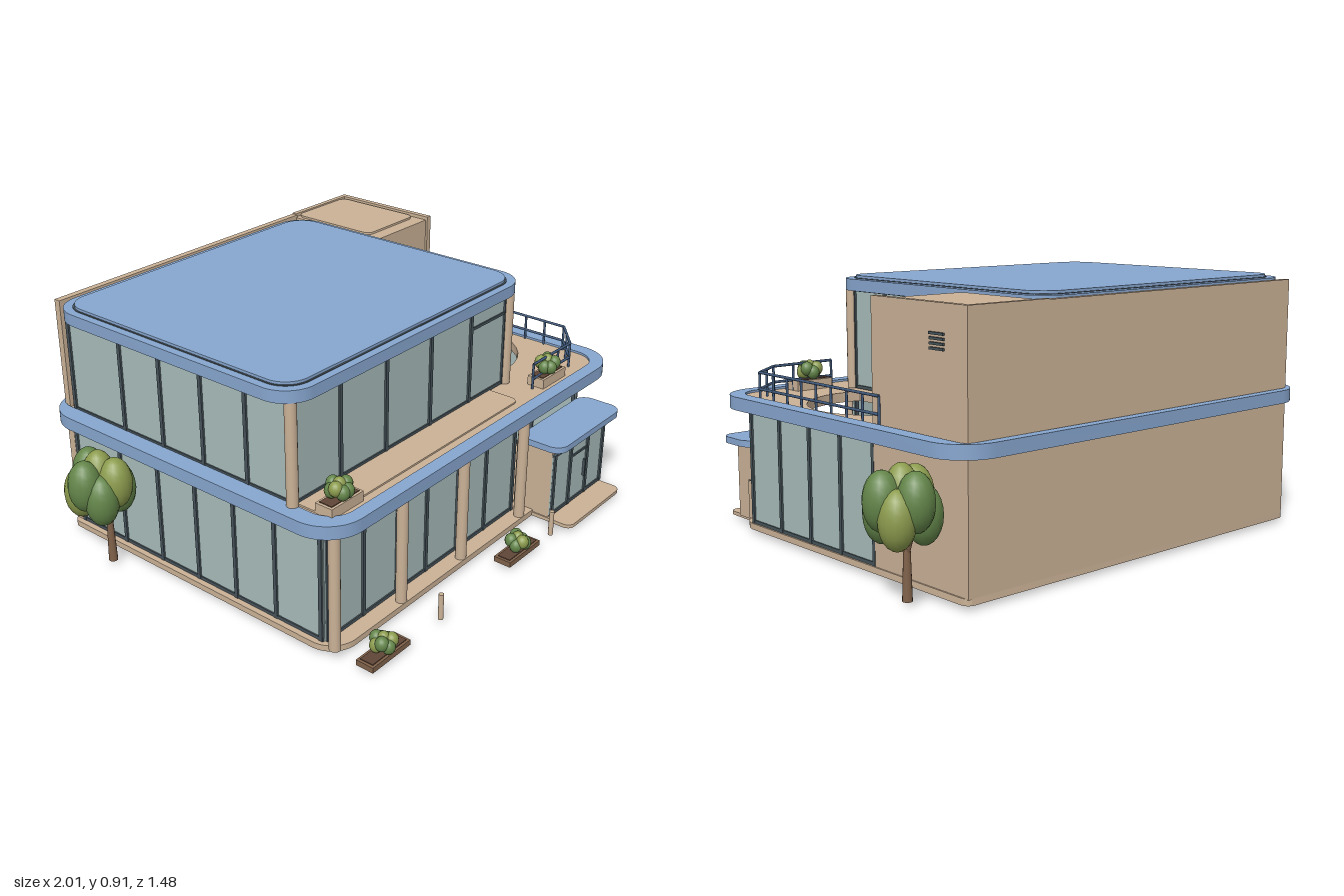
import * as THREE from 'three';
import { toCreasedNormals } from 'three/addons/utils/BufferGeometryUtils.js';
import { ParametricGeometry } from 'three/addons/geometries/ParametricGeometry.js';

const mat = (name, color, side = THREE.FrontSide) => {
  const m = new THREE.MeshStandardMaterial({ color, side });
  m.name = name;
  return m;
};

export function createModel() {
  const root = new THREE.Group();
  root.name = 'villa';
  const beige = mat('beige render', 0xcbb297, THREE.DoubleSide);
  const blue = mat('blue trim', 0x87a6cf);
  const glass = mat('pale glass', 0xa7bcba);
  const frame = mat('dark frame', 0x46535a);
  const navy = mat('navy rail', 0x3f587a);
  const slate = mat('slate door', 0x687786);
  const brown = mat('brown wood', 0x80624a);
  const soil = mat('dark soil', 0x5f4536);
  const green = mat('leaf green', 0x64864a);
  const olive = mat('olive leaf', 0x8c9c4e);

  const add = (name, geo, m, parent = root) => {
    const mesh = new THREE.Mesh(geo, m);
    mesh.name = name;
    parent.add(mesh);
    return mesh;
  };
  // box given by its min and max on each axis
  const box = (name, m, x0, x1, y0, y1, z0, z1, parent = root) => {
    const b = add(name, new THREE.BoxGeometry(x1 - x0, y1 - y0, z1 - z0), m, parent);
    b.position.set((x0 + x1) / 2, (y0 + y1) / 2, (z0 + z1) / 2);
    return b;
  };
  const post = (name, m, x, z, y0, y1, r, r2 = r) => {
    const p = add(name, new THREE.CylinderGeometry(r2, r, y1 - y0, 14), m);
    p.position.set(x, (y0 + y1) / 2, z);
    return p;
  };
  // bar between two points
  const bar = (name, m, a, b, r, parent = root) => {
    const d = b.clone().sub(a);
    const mesh = add(name, new THREE.CylinderGeometry(r, r, d.length(), 8), m, parent);
    mesh.position.copy(a).addScaledVector(d, 0.5);
    mesh.quaternion.setFromUnitVectors(new THREE.Vector3(0, 1, 0), d.normalize());
    return mesh;
  };
  // rounded rectangle in plan; shape y is -z, rb rounds the back corners
  const plan = (x0, x1, z0, z1, r, rb = r, C = THREE.Shape) => {
    const s = new C(), b = -z1, t = -z0, H = Math.PI / 2;
    s.absarc(x1 - r, b + r, r, -H, 0);
    s.absarc(x1 - rb, t - rb, rb, 0, H);
    s.absarc(x0 + rb, t - rb, rb, H, 2 * H);
    s.absarc(x0 + r, b + r, r, 2 * H, 3 * H);
    s.closePath();
    return s;
  };
  const slab = (name, m, shape, y0, y1, parent = root) => {
    const g = new THREE.ExtrudeGeometry(shape, { depth: y1 - y0, bevelEnabled: false, curveSegments: 10 });
    g.rotateX(-Math.PI / 2);
    const s = add(name, toCreasedNormals(g, 0.6), m, parent);
    s.position.y = y0;
    return s;
  };
  // glazed wall along x or z with mullions and top and bottom rails
  const glazing = (name, axis, at, a, b, y0, y1, mullions) => {
    const g = new THREE.Group();
    g.name = name;
    root.add(g);
    const put = (n, m, u0, u1, v0, v1, t) => axis === 'x'
      ? box(n, m, u0, u1, v0, v1, at - t, at + t, g)
      : box(n, m, at - t, at + t, v0, v1, u0, u1, g);
    put('pane', glass, a, b, y0, y1, 0.004);
    put('sill', frame, a, b, y0, y0 + 0.012, 0.009);
    put('header', frame, a, b, y1 - 0.01, y1, 0.009);
    mullions.forEach(u => put('mullion', frame, u - 0.007, u + 0.007, y0, y1, 0.011));
    return put;
  };

  // ground floor
  slab('baseSlab', beige, plan(-0.8, 0.76, -0.7, 0.57, 0.1, 0.03), 0, 0.022);
  box('lowerBackWall', beige, -0.78, 0.755, 0.02, 0.445, -0.7, -0.67);
  box('lowerSideWall', beige, 0.73, 0.755, 0.02, 0.445, -0.68, -0.245);
  box('innerWall', beige, -0.76, 0.74, 0.02, 0.445, -0.29, -0.26);
  glazing('lowerFrontGlazing', 'x', 0.5, -0.77, 0.29, 0.022, 0.445, [-0.763, -0.585, -0.41, -0.25, -0.07, 0.1, 0.28]);
  glazing('lowerRightGlazing', 'z', 0.745, -0.245, 0.485, 0.022, 0.445, [-0.24, -0.06, 0.117, 0.297, 0.478]);
  glazing('lowerLeftGlazing', 'z', -0.77, -0.67, 0.5, 0.022, 0.445, [-0.66, -0.43, -0.24, -0.06, 0.117, 0.297, 0.49]);
  [-0.78, -0.44, -0.1, 0.27].forEach(x => post('lowerColumn', beige, x, 0.55, 0.02, 0.445, 0.02));

  // blue band and terrace floor with stair opening
  const band = plan(-0.85, 0.82, -0.74, 0.605, 0.14);
  band.holes.push(plan(-0.785, 0.765, -0.705, 0.555, 0.09, 0.03, THREE.Path));
  slab('storeyBand', blue, band, 0.443, 0.49);
  const CX = 0.475, CZ = 0.073, RO = 0.255, RI = 0.105;
  const floor = plan(-0.785, 0.765, -0.705, 0.555, 0.09, 0.03);
  const opening = new THREE.Path();
  opening.absarc(CX, -CZ, RO + 0.004, -1.9, 1.9);
  opening.closePath();
  floor.holes.push(opening);
  slab('terraceFloor', beige, floor, 0.447, 0.482);
  slab('terracePaving', beige, plan(-0.77, 0.27, -0.69, 0.52, 0.03), 0.48, 0.488);

  // upper floor
  box('upperBackWall', beige, -0.78, 0.43, 0.48, 0.885, -0.7, -0.675);
  const up = glazing('upperFrontGlazing', 'x', 0.385, -0.78, 0.36, 0.485, 0.85, [-0.56, -0.33, -0.09, 0.14, 0.35]);
  up('transom', frame, 0.14, 0.35, 0.76, 0.77, 0.009);
  const us = glazing('upperRightGlazing', 'z', 0.36, -0.65, 0.385, 0.485, 0.85, [-0.19, 0, 0.195, 0.375]);
  us('transom', frame, 0, 0.195, 0.755, 0.765, 0.009);
  glazing('upperLeftGlazing', 'z', -0.775, -0.65, 0.385, 0.485, 0.85, [-0.64, -0.38, -0.19, 0, 0.195, 0.375]);
  [-0.79, 0.367].forEach(x => post('upperColumn', beige, x, 0.393, 0.485, 0.85, 0.02));
  slab('roof', blue, plan(-0.84, 0.413, -0.65, 0.437, 0.11), 0.847, 0.889);
  slab('roofGroove', frame, plan(-0.812, 0.385, -0.622, 0.409, 0.09), 0.888, 0.891);
  slab('roofTop', blue, plan(-0.806, 0.379, -0.616, 0.403, 0.085), 0.888, 0.9);

  // stair house on the roof terrace
  box('stairHouse', beige, 0.425, 0.745, 0.48, 0.875, -0.7, -0.255);
  box('stairHouseSide', beige, 0.735, 0.757, 0.48, 0.888, -0.7, -0.247);
  box('stairHouseBack', beige, 0.43, 0.757, 0.48, 0.888, -0.702, -0.682);
  slab('stairHouseRoof', beige, plan(0.44, 0.725, -0.68, -0.31, 0.03), 0.87, 0.883);
  box('terraceDoor', slate, 0.505, 0.668, 0.485, 0.74, -0.256, -0.25);
  box('doorSplit', frame, 0.584, 0.588, 0.485, 0.74, -0.252, -0.248);
  box('doorHandle', frame, 0.592, 0.598, 0.59, 0.63, -0.252, -0.244);
  for (let i = 0; i < 4; i++) box('ventSlat', frame, 0.755, 0.764, 0.748 + i * 0.015, 0.756 + i * 0.015, -0.6, -0.535);

  // curved stair, from the terrace at the back round to the ground at the front
  const stair = new THREE.Group();
  stair.name = 'curvedStair';
  stair.position.set(CX, 0, CZ);
  root.add(stair);
  const N = 18, A0 = -1.7, A1 = 2.2, dA = (A1 - A0) / N;
  const sector = new THREE.Shape();
  sector.absarc(0, 0, RO, -dA, 0);
  sector.absarc(0, 0, RI, 0, -dA, true);
  sector.closePath();
  for (let i = 0; i < N; i++) {
    const y = 0.48 - i * 0.0255;
    slab('tread', beige, sector, y - 0.03, y, stair).rotation.y = -(A0 + i * dA);
  }
  const helix = (r, t, h) => {
    const a = A0 + (A1 - A0) * t;
    return new THREE.Vector3(r * Math.cos(a), 0.48 - 0.45 * t + h, r * Math.sin(a));
  };
  [RI, RO].forEach(r => {
    add('stringer', new ParametricGeometry((u, v, p) => p.copy(helix(r, u, -0.045 + v * 0.09)), 40, 1), beige, stair);
    const pts = Array.from({ length: 25 }, (_, i) => helix(r, i / 24, 0.09));
    add('handrail', new THREE.TubeGeometry(new THREE.CatmullRomCurve3(pts), 60, 0.006, 6), navy, stair);
    for (let i = 0; i <= 8; i++) bar('baluster', navy, helix(r, i / 8, 0), helix(r, i / 8, 0.09), 0.004, stair);
  });

  // terrace railing
  const path = [[0.39, 0.5], [0.64, 0.5], [0.76, 0.4], [0.76, -0.285]];
  for (let i = 0; i < 3; i++) {
    const [a, b] = [path[i], path[i + 1]].map(p => new THREE.Vector3(p[0], 0, p[1]));
    [0.52, 0.578].forEach(y => bar('rail', navy, a.clone().setY(y), b.clone().setY(y), 0.005));
    const n = Math.round(a.distanceTo(b) / 0.085);
    for (let k = i ? 1 : 0; k <= n; k++) {
      const p = a.clone().lerp(b, k / n);
      post('railPost', navy, p.x, p.z, 0.48, 0.578, 0.0045);
    }
  }

  // entrance
  slab('entranceStep', beige, plan(0.33, 0.7, 0.45, 0.735, 0.03), 0, 0.014);
  box('entranceBody', beige, 0.335, 0.715, 0.014, 0.293, 0.485, 0.637);
  slab('entranceCanopy', blue, plan(0.318, 0.76, 0.5, 0.68, 0.05), 0.293, 0.317);
  const en = glazing('entranceGlazing', 'x', 0.638, 0.335, 0.695, 0.022, 0.275, [0.343, 0.455, 0.575, 0.688]);
  en('doorTransom', frame, 0.455, 0.575, 0.215, 0.223, 0.009);
  en('doorHandle', frame, 0.555, 0.561, 0.1, 0.17, 0.014);
  box('sideDoorFrame', frame, 0.714, 0.718, 0.02, 0.162, 0.512, 0.567);
  box('sideDoor', beige, 0.714, 0.72, 0.02, 0.159, 0.515, 0.564);
  [-0.415, 0.26].forEach(x => post('bollard', beige, x, 0.695, 0, 0.098, 0.009));

  // leafy clusters: a ring of lobes round a top lobe
  const lobe = new THREE.SphereGeometry(1, 16, 12);
  const leaves = (name, x, y, z, w, h, n, turn) => {
    const g = new THREE.Group();
    g.name = name;
    g.position.set(x, y, z);
    root.add(g);
    for (let i = 0; i <= n; i++) {
      const top = i === n, a = turn + i * 2 * Math.PI / n;
      const l = add('leafLobe', lobe, i % 3 === 1 ? olive : green, g);
      l.scale.set(w * 0.5, h * (top ? 0.85 : 0.72), w * 0.5);
      if (top) l.position.y = h * 0.15;
      else l.position.set(Math.cos(a) * w * 0.55, (i % 2 ? 0.16 : -0.22) * h, Math.sin(a) * w * 0.55);
    }
  };

  // planters with bushes
  [[-0.685, 0.67, 0, 0.095, 0.02], [0.077, 0.67, 0, 0.095, 0.02],
    [-0.695, 0.5, 0.482, 0.075, 0.036], [0.485, 0.5, 0.482, 0.075, 0.036]].forEach(([x, z, y, w, h], i) => {
    box('planter', i < 2 ? brown : beige, x - w, x + w, y, y + h, z - 0.034, z + 0.034);
    box('planterSoil', soil, x - w + 0.01, x + w - 0.01, y + h - 0.003, y + h + 0.003, z - 0.025, z + 0.025);
    leaves('bush', x, y + h + 0.034, z, 0.046, 0.036, 7, i);
  });

  // trees
  [[-0.866, -0.893, 0.318, -0.405, 0.4], [0.853, 0.87, 0.296, -0.535, 2]].forEach(([tx, cx, cy, z, turn]) => {
    post('treeTrunk', brown, tx, z, 0, 0.2, 0.016, 0.01);
    [-1, 0, 1].forEach(s => bar('branch', brown, new THREE.Vector3(tx, 0.14, z),
      new THREE.Vector3(tx + s * 0.04, 0.25, z + (s ? 0.02 : -0.04)), 0.007));
    leaves('treeCrown', cx, cy, z, 0.118, 0.13, 7, turn);
  });
  return root;
}
